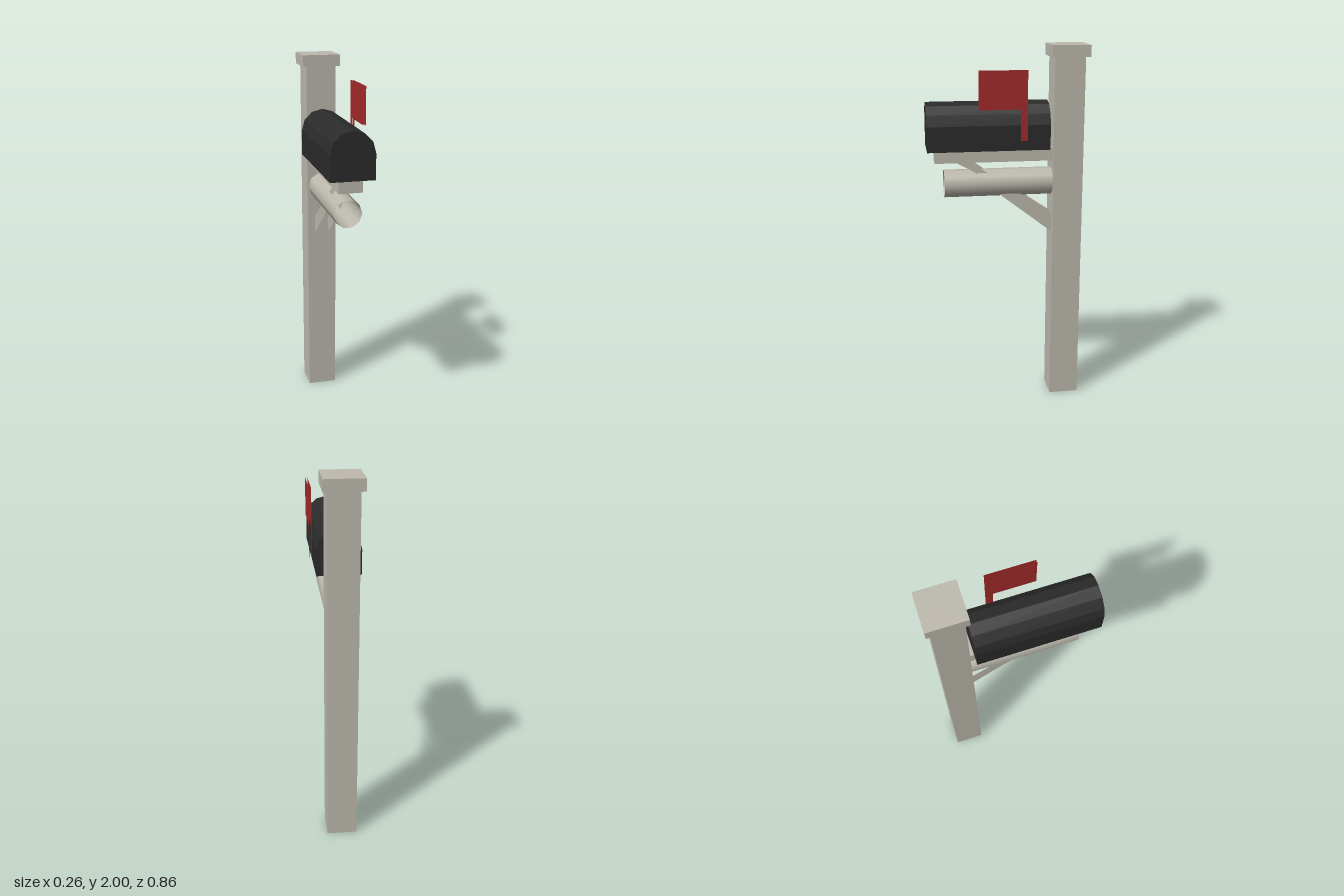
import * as THREE from 'three';

const material = (name, color) => {
  const m = new THREE.MeshStandardMaterial({ color, side: THREE.DoubleSide });
  m.name = name;
  return m;
};

const CX = -0.012; // centre line of post, box and arm

export function createModel() {
  const wood = material('weathered wood', 0xbdb9ae);
  const black = material('black metal', 0x2b2b2b);
  const red = material('red paint', 0xa52a2a);
  const model = new THREE.Group();
  model.name = 'mailbox';

  const add = (name, geometry, mat, x, y, z) => {
    const mesh = new THREE.Mesh(geometry, mat);
    mesh.name = name;
    mesh.position.set(x, y, z);
    model.add(mesh);
    return mesh;
  };
  const flat = (geometry) => {
    const g = geometry.toNonIndexed();
    g.computeVertexNormals();
    return g;
  };
  const outline = (points) => new THREE.Shape(points.map(([a, b]) => new THREE.Vector2(a, b)));
  // upright sheet in the plane of z and y
  const sidePlate = (points) => new THREE.ShapeGeometry(outline(points)).rotateY(-Math.PI / 2);

  // hollow square post with a wider cap
  const post = new THREE.CylinderGeometry(0.163 / Math.SQRT2, 0.163 / Math.SQRT2, 1.94, 4, 1, true);
  add('post', flat(post.rotateY(Math.PI / 4)), wood, CX, 0.97, -0.328);
  add('postCap', new THREE.BoxGeometry(0.204, 0.062, 0.204), wood, CX, 1.969, -0.33);

  // arm carrying the box
  add('supportArm', new THREE.BoxGeometry(0.124, 0.07, 0.64), wood, CX, 1.425, 0.07);

  // open newspaper tube
  const tube = new THREE.CylinderGeometry(0.075, 0.075, 0.59, 10, 1, true, Math.PI / 2);
  add('newspaperTube', tube.rotateX(Math.PI / 2), wood, CX, 1.267, 0.045);

  // diagonal brace made of two side sheets
  const brace = sidePlate([
    [0.28, 1.39], [0.2, 1.39], [-0.25, 1.085], [-0.25, 0.98], [0.03, 1.197], [0.16, 1.323],
  ]);
  for (const s of [-1, 1]) add('braceSide', brace, wood, CX + s * 0.039, 0, 0);

  // box with an arched, faceted roof
  const profile = [[-0.116, 1.46], [0.116, 1.46]];
  for (let i = 0; i <= 6; i++) {
    const a = (i * Math.PI) / 6;
    profile.push([0.116 * Math.cos(a), 1.594 + 0.116 * Math.sin(a)]);
  }
  const body = new THREE.ExtrudeGeometry(outline(profile), { depth: 0.652, bevelEnabled: false });
  add('boxBody', body, black, CX, 0, -0.222);

  // signal flag, two sheets beside the box
  const flag = sidePlate([
    [0.16, 1.88], [0.16, 1.68], [-0.06, 1.68], [-0.06, 1.515], [-0.095, 1.515], [-0.095, 1.88],
  ]);
  for (const x of [0.116, 0.128]) add('signalFlag', flag, red, x, 0, 0);

  return model;
}
